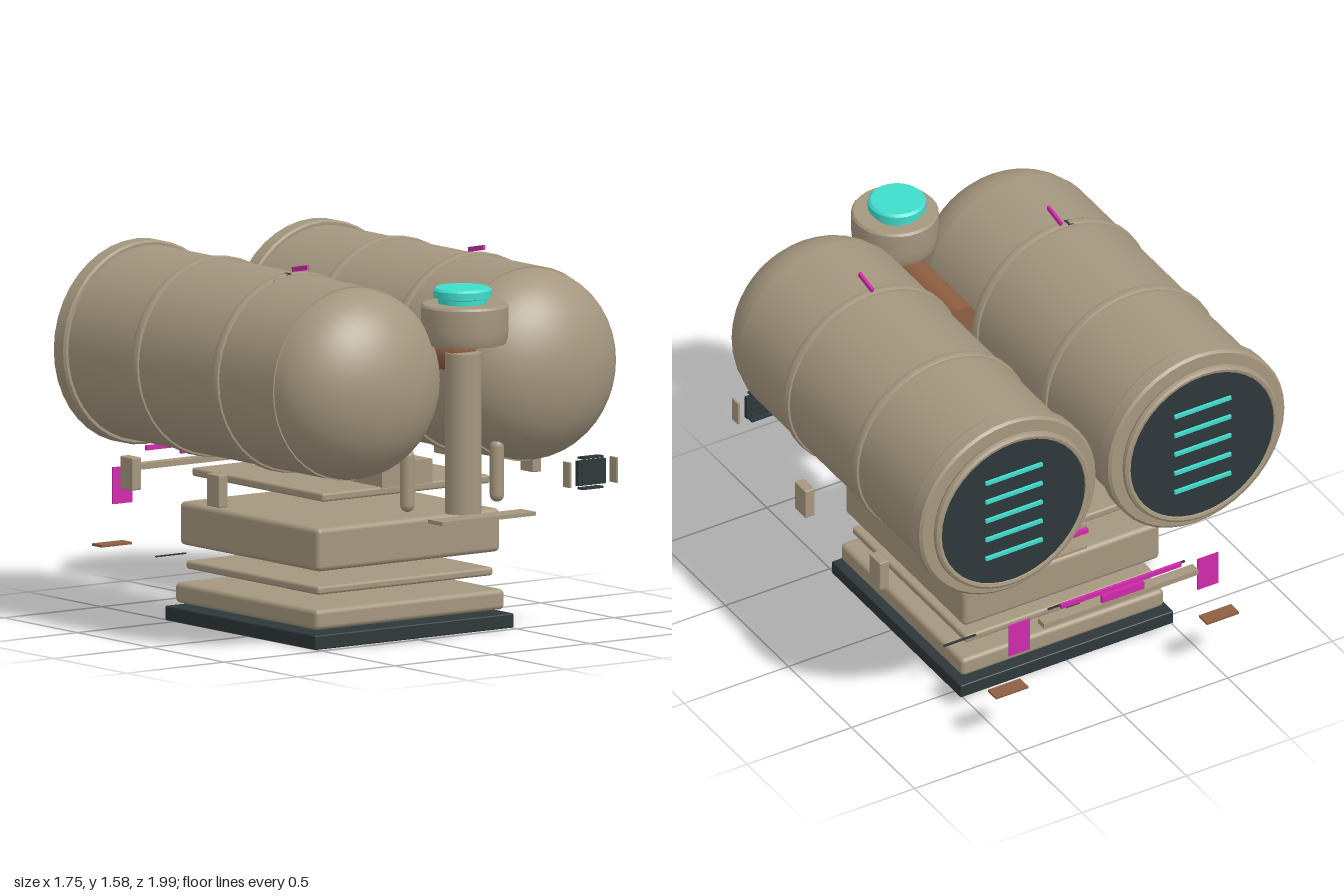
import * as THREE from 'three';
import { toCreasedNormals } from 'three/addons/utils/BufferGeometryUtils.js';
import { RoundedBoxGeometry } from 'three/addons/geometries/RoundedBoxGeometry.js';

const material = (name, color) => {
  const m = new THREE.MeshStandardMaterial({ color });
  m.name = name;
  return m;
};

export function createModel() {
  const root = new THREE.Group();
  root.name = 'twinTankMachine';
  const tan = material('tan shell', 0xa5977f);
  const dark = material('dark slate', 0x2d3739);
  const teal = material('teal glow', 0x3fdccb);
  const pink = material('magenta', 0xd02aab);
  const brown = material('copper brown', 0x8f5f43);

  const add = (name, geo, mat, parent = root) => {
    const mesh = new THREE.Mesh(geo, mat);
    mesh.name = name;
    parent.add(mesh);
    return mesh;
  };
  // Box given by its limits on each axis; r rounds its edges
  const box = (name, mat, [x0, x1], [y0, y1], [z0, z1], r = 0, parent = root) => {
    const s = [x1 - x0, y1 - y0, z1 - z0];
    const geo = r ? new RoundedBoxGeometry(...s, 3, r) : new THREE.BoxGeometry(...s);
    const mesh = add(name, geo, mat, parent);
    mesh.position.set((x0 + x1) / 2, (y0 + y1) / 2, (z0 + z1) / 2);
    return mesh;
  };
  // Turned profile of [radius, height] pairs around y, keeping edges sharp
  const lathe = (pts, seg = 40) => toCreasedNormals(
    new THREE.LatheGeometry(pts.map(([r, h]) => new THREE.Vector2(r, h)), seg), 0.6);
  const latheZ = (pts) => lathe(pts).rotateX(Math.PI / 2);

  // Stacked base
  box('baseMat', dark, [-0.51, 0.51], [0, 0.06], [-0.555, 0.47], 0.006);
  box('lowerPlinth', tan, [-0.485, 0.485], [0.075, 0.16], [-0.525, 0.445], 0.02);
  box('middlePlate', tan, [-0.45, 0.45], [0.215, 0.25], [-0.495, 0.41], 0.012);
  box('mainPlinth', tan, [-0.47, 0.47], [0.315, 0.495], [-0.515, 0.435], 0.022);
  box('topPlate', tan, [-0.43, 0.43], [0.6, 0.635], [-0.48, 0.415], 0.01);
  box('spine', tan, [-0.13, 0.13], [0.63, 0.73], [-0.4, 0.42]);

  // Two tanks with domes, bands, rims and vented rear faces
  for (const side of [1, -1]) {
    const tank = new THREE.Group();
    tank.name = side > 0 ? 'leftTank' : 'rightTank';
    tank.position.set(side * 0.452, 1.122, 0);
    root.add(tank);

    add('tankBody', latheZ([[0, -0.8], [0.403, -0.8], [0.403, 0.64], [0.38, 0.64]]), tan, tank);
    const dome = [];
    for (let i = 0; i <= 14; i++) {
      const a = (i / 14) * Math.PI / 2;
      dome.push([0.397 * Math.cos(a), 0.64 + 0.292 * Math.sin(a)]);
    }
    add('dome', latheZ(dome), tan, tank);
    for (const z of [0.252, -0.295]) {
      add('band', latheZ([[0.4, z - 0.022], [0.411, z - 0.02], [0.415, z - 0.012],
        [0.415, z + 0.012], [0.411, z + 0.02], [0.4, z + 0.022]]), tan, tank);
    }
    add('rim', latheZ([[0.3, -0.838], [0.412, -0.838], [0.423, -0.828], [0.423, -0.765],
      [0.415, -0.755], [0.4, -0.755]]), tan, tank);
    add('rearRing', latheZ([[0.34, -0.868], [0.345, -0.88], [0.358, -0.883], [0.369, -0.876],
      [0.372, -0.862], [0.365, -0.848], [0.355, -0.838]]), tan, tank);
    add('rearFace', latheZ([[0, -0.875], [0.348, -0.875], [0.348, -0.84]]), dark, tank);
    for (let i = -2; i <= 2; i++) {
      box('ventSlat', teal, [-0.135, 0.135], [i * 0.095 - 0.008, i * 0.095 + 0.008],
        [-0.887, -0.874], 0, tank);
    }
    const fin = box('topFin', pink, [-0.006, 0.006], [0.425, 0.445], [0.24, 0.345], 0, tank);
    fin.rotation.x = -0.2;

    // Hanging side blocks
    const x = side * 0.805;
    for (const z of [0.193, -0.397]) {
      box('sideBlock', tan, [x - 0.023, x + 0.023], [0.59, 0.725], [z - 0.043, z + 0.043], 0.005);
    }
    // Rear flags and pads
    const f = side * 0.452;
    box('rearFlag', pink, [f - 0.05, f + 0.05], [0.435, 0.588], [-0.925, -0.919]);
    const p = side * 0.505;
    box('rearPad', brown, [p - 0.077, p + 0.077], [0.266, 0.276], [-0.955, -0.89]);
    // Front struts
    const strut = add('strut', new THREE.CapsuleGeometry(0.03, 0.2, 6, 16), tan);
    strut.position.set(side * 0.23, 0.71, 0.725);
  }
  const clip = box('bandClip', dark, [-0.575, -0.48], [1.512, 1.526], [0.235, 0.27]);
  clip.rotation.z = 0.22;

  // Front column, head and lamp
  const column = add('column', new THREE.CylinderGeometry(0.075, 0.075, 0.665, 28), tan);
  column.position.set(0, 0.8975, 0.8);
  const head = add('head', lathe([[0, 1.27], [0.168, 1.27], [0.176, 1.29], [0.18, 1.33],
    [0.18, 1.425], [0.172, 1.435], [0, 1.435]], 32), tan);
  head.position.z = 0.812;
  const lamp = add('lamp', lathe([[0, 1.435], [0.1, 1.435], [0.1, 1.455], [0.12, 1.46],
    [0.12, 1.49], [0.11, 1.5], [0, 1.5]], 32), teal);
  lamp.position.z = 0.796;
  const pipe = add('linkPipe', new THREE.CylinderGeometry(0.064, 0.064, 0.54, 24).rotateX(Math.PI / 2), brown);
  pipe.position.set(0, 1.208, 0.54);
  box('footStep', tan, [-0.24, 0.24], [0.552, 0.568], [0.88, 0.977]);

  // Louvred front panel
  box('louvrePanel', dark, [0.558, 0.7], [0.628, 0.732], [0.825, 0.845]);
  for (const x of [0.507, 0.746]) box('louvreBar', tan, [x - 0.005, x + 0.005], [0.627, 0.732], [0.815, 0.86]);
  for (const y of [0.615, 0.647, 0.68, 0.713, 0.742]) {
    box('louvreSlat', dark, [0.575, 0.682], [y - 0.004, y + 0.004], [0.815, 0.852]);
  }

  // Rear shelf, bars and thin seams
  box('rearShelf', tan, [-0.37, 0.37], [0.562, 0.585], [-0.985, -0.935]);
  box('shelfClip', dark, [0.165, 0.23], [0.572, 0.582], [-0.934, -0.925]);
  box('rearBar', pink, [-0.288, 0.288], [0.632, 0.652], [-0.985, -0.972]);
  box('rearBarCentre', pink, [-0.1, 0.1], [0.6, 0.635], [-1, -0.985]);
  box('innerBar', pink, [-0.1, 0.1], [0.61, 0.63], [-0.558, -0.54]);
  for (const y of [0.53, 0.642]) box('innerRail', tan, [-0.1, 0.1], [y - 0.006, y + 0.006], [-0.545, -0.528]);
  for (const x of [-0.5, 0, 0.5]) {
    box('seam', dark, [x - 0.077, x + 0.077], [0.27, 0.275], [-0.535, -0.525]);
  }
  return root;
}
